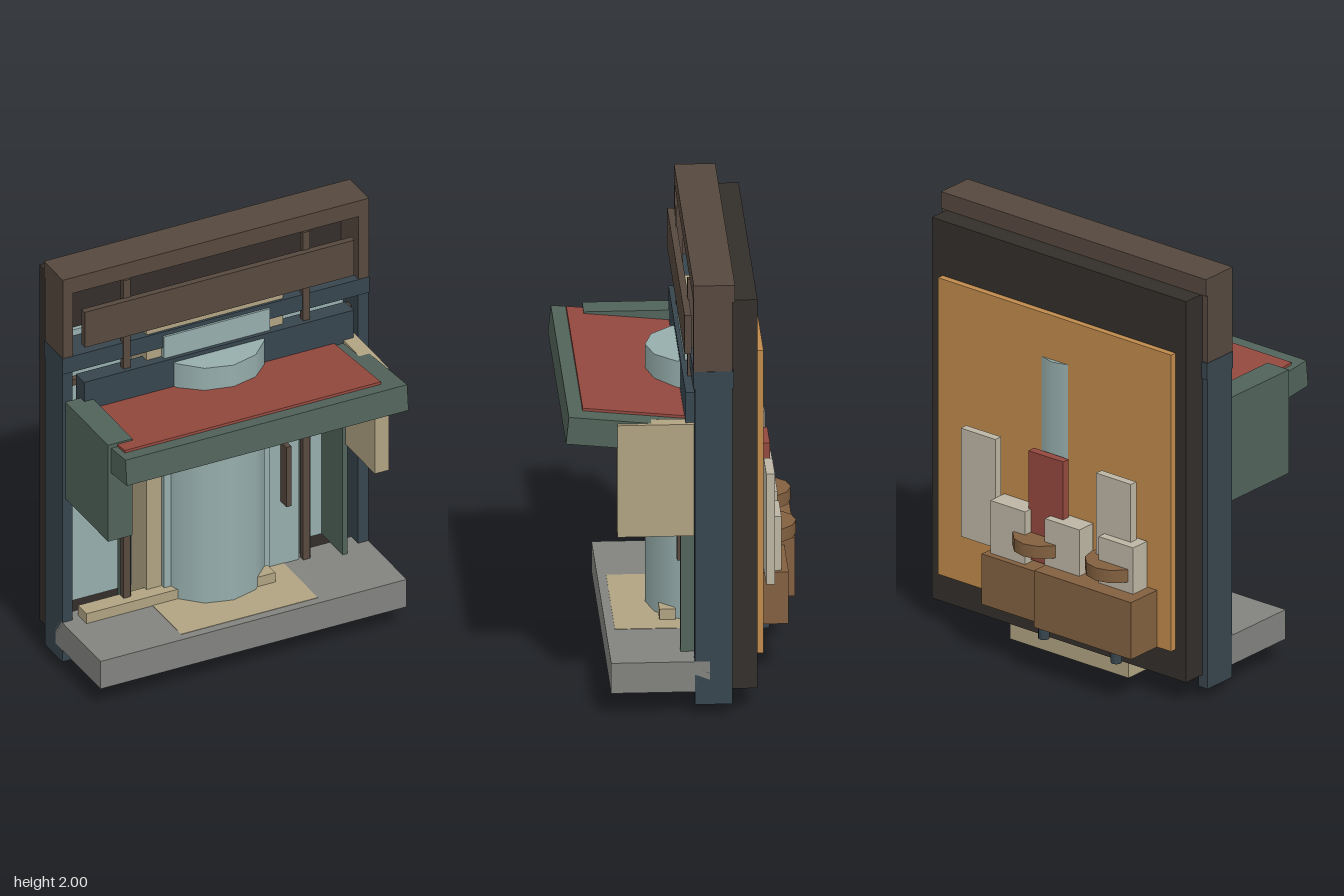
import * as THREE from 'three';

const COLORS = {
  brown: 0x56483e, dark: 0x332e2a, navy: 0x37454d, pale: 0x96aeac, tan: 0xb0a382, grey: 0x82827f,
  green: 0x51635a, red: 0x93483e, orange: 0xc08a4c, wood: 0x82603f, cream: 0xbdb6a4,
};

export function createModel() {
  const model = new THREE.Group();
  const mats = {};
  for (const [key, color] of Object.entries(COLORS)) mats[key] = new THREE.MeshStandardMaterial({ color });

  function add(name, geometry, color, parent = model) {
    const mesh = new THREE.Mesh(geometry, mats[color]);
    mesh.name = name;
    parent.add(mesh);
    return mesh;
  }
  // Box given by its minimum and maximum on each axis
  function box(name, color, x0, x1, y0, y1, z0, z1, parent) {
    const mesh = add(name, new THREE.BoxGeometry(x1 - x0, y1 - y0, z1 - z0), color, parent);
    mesh.position.set((x0 + x1) / 2, (y0 + y1) / 2, (z0 + z1) / 2);
    return mesh;
  }
  // Upright cylinder
  function rod(name, color, r, x, z, y0, y1, sides = 12) {
    const mesh = add(name, new THREE.CylinderGeometry(r, r, y1 - y0, sides), color);
    mesh.position.set(x, (y0 + y1) / 2, z);
    return mesh;
  }

  // Outer frame
  box('topBeam', 'brown', -0.75, 0.75, 1.92, 2.0, -0.21, -0.03);
  for (const s of [-1, 1]) {
    const mid = s * 0.725;
    box('upperPost', 'brown', mid - 0.025, mid + 0.025, 1.6, 1.92, -0.2, -0.03);
    box('lowerPost', 'navy', mid - 0.025, mid + 0.025, 0.05, 1.6, -0.2, -0.035);
    box('hangerRod', 'brown', s * 0.44 - 0.017, s * 0.44 + 0.017, 0.25, 1.92, -0.05, -0.02);
    box('rodBacking', 'green', s * 0.44 - 0.005, s * 0.44 + 0.022, 0.25, 1.2, -0.1, -0.025);
  }
  box('crossBeam', 'navy', -0.752, 0.752, 1.52, 1.6, -0.205, -0.028);
  box('headboard', 'brown', -0.66, 0.66, 1.65, 1.83, -0.025, 0.005);
  box('brownRail', 'brown', -0.7, 0.7, 1.4, 1.43, -0.13, -0.1);
  box('navyRail', 'navy', -0.7, 0.7, 1.11, 1.145, -0.13, -0.1);
  box('shelfBeam', 'navy', -0.66, 0.66, 1.3, 1.47, -0.08, 0.0);

  // Back wall and inner panels
  box('backWall', 'dark', -0.72, 0.72, 0.11, 1.92, -0.31, -0.2);
  box('backPanel', 'orange', -0.66, 0.66, 0.25, 1.66, -0.34, -0.305);
  box('innerPanel', 'pale', -0.7, 0.7, 0.25, 1.63, -0.205, -0.18);
  box('tanColumn', 'tan', -0.335, 0.335, 0, 1.64, -0.24, -0.04);
  box('columnCover', 'pale', 0.22, 0.41, 0.25, 1.2, -0.18, -0.035);
  box('columnFace', 'pale', -0.26, 0.26, 0.25, 1.58, -0.1, -0.018);
  box('sidePanel', 'green', 0.595, 0.62, 0.25, 1.25, -0.19, 0.02);
  box('handle', 'brown', 0.32, 0.345, 0.57, 0.875, -0.035, 0.02);

  // Round column in front
  rod('drumColumn', 'pale', 0.25, 0, -0.11, 0.25, 1.45);

  // Base
  box('basePlate', 'grey', -0.75, 0.75, 0.11, 0.25, -0.1, 0.33);
  box('baseInlay', 'tan', -0.335, 0.335, 0.24, 0.252, -0.05, 0.29);
  box('longSill', 'tan', -0.66, -0.14, 0.25, 0.3, -0.06, 0.02);
  box('smallBlock', 'tan', 0.14, 0.23, 0.25, 0.3, 0.02, 0.09);

  // Tilted table, pivoting at its rear edge
  const table = new THREE.Group();
  table.name = 'table';
  table.position.set(0, 1.315, 0);
  table.rotation.x = -0.1;
  model.add(table);
  box('tableTray', 'green', -0.72, 0.66, -0.125, 0, -0.02, 0.512, table);
  box('tableTop', 'red', -0.69, 0.565, -0.01, 0.012, -0.02, 0.447, table);
  box('leftBracket', 'green', -0.735, -0.615, 0.88, 1.372, -0.035, 0.372);
  box('rightBracket', 'tan', 0.61, 0.68, 0.81, 1.33, -0.035, 0.298);

  // Machinery on the back
  box('largeCrate', 'wood', -0.58, -0.03, 0.25, 0.52, -0.517, -0.335);
  box('smallCrate', 'wood', -0.03, 0.305, 0.25, 0.49, -0.47, -0.335);
  for (const x of [-0.43, -0.125, 0.183]) box('creamBlock', 'cream', x - 0.098, x + 0.098, 0.49, 0.74, -0.44, -0.345);
  for (const x of [-0.383, 0, 0.383]) {
    box('tallPlate', x === 0 ? 'red' : 'cream', x - 0.098, x + 0.098, 0.5, 1.015, -0.4, -0.362);
  }
  for (const x of [-0.38, 0.03]) {
    rod('disc', 'wood', 0.133, x, -0.385, 0.57, 0.63);
    rod('foot', 'navy', 0.025, x, -0.377, 0.135, 0.3);
  }
  rod('backPipe', 'pale', 0.05, 0, -0.298, 0.22, 1.44, 16);

  return model;
}
